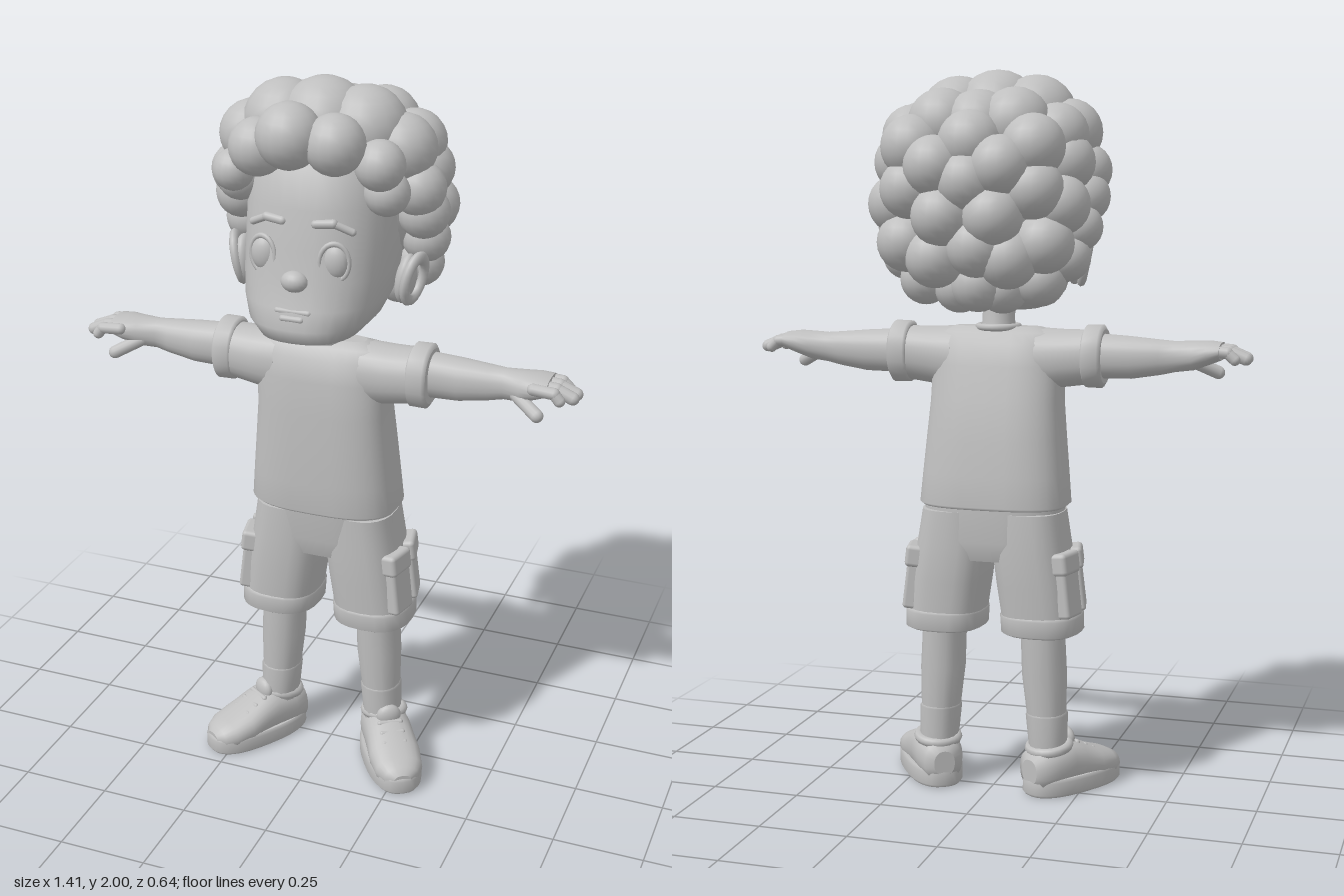
import * as THREE from 'three';
import { mergeVertices } from 'three/addons/utils/BufferGeometryUtils.js';
import { RoundedBoxGeometry } from 'three/addons/geometries/RoundedBoxGeometry.js';

const clay = new THREE.MeshStandardMaterial({ color: 0xbfbfbf });
clay.name = 'clayGrey';

// Loft of superellipse rings. Each ring: [position, centreU, centreV, radiusU, radiusV]
// axis x: u=y, v=z; axis y: u=x, v=z; axis z: u=x, v=y
function loft(axis, rings, p = 2, n = 24) {
  const pos = [], idx = [];
  const put = (t, u, v) => pos.push(...(axis === 'x' ? [t, u, v] : axis === 'y' ? [u, t, v] : [u, v, t]));
  const tri = (a, b, c) => (axis === 'y' ? idx.push(a, c, b) : idx.push(a, b, c));
  const pw = (c) => Math.sign(c) * Math.pow(Math.abs(c), 2 / p);
  const ring = ([t, cu, cv, ru, rv]) => {
    for (let j = 0; j < n; j++) {
      const a = (j / n) * Math.PI * 2;
      put(t, cu + ru * pw(Math.cos(a)), cv + rv * pw(Math.sin(a)));
    }
  };
  rings.forEach(ring);
  for (let i = 0; i < rings.length - 1; i++) {
    for (let j = 0; j < n; j++) {
      const k = (j + 1) % n, a = i * n, b = a + n;
      tri(a + j, a + k, b + k);
      tri(a + j, b + k, b + j);
    }
  }
  // end caps on their own vertices keep the rims crisp
  [rings[0], rings[rings.length - 1]].forEach((r, e) => {
    const s = pos.length / 3;
    ring(r);
    put(r[0], r[1], r[2]);
    for (let j = 0; j < n; j++) {
      const k = (j + 1) % n;
      if (e) tri(s + n, s + j, s + k);
      else tri(s + n, s + k, s + j);
    }
  });
  const g = new THREE.BufferGeometry();
  g.setAttribute('position', new THREE.Float32BufferAttribute(pos, 3));
  g.setIndex(idx);
  g.computeVertexNormals();
  return g;
}

const ball = (x, y, z, rx, ry = rx, rz = rx) =>
  new THREE.SphereGeometry(1, 18, 12).scale(rx, ry, rz).translate(x, y, z);

// Rounded rod between two points
function rod(a, b, r) {
  const A = new THREE.Vector3(...a), B = new THREE.Vector3(...b), d = B.clone().sub(A);
  const q = new THREE.Quaternion().setFromUnitVectors(new THREE.Vector3(0, 1, 0), d.clone().normalize());
  const m = A.add(B).multiplyScalar(0.5);
  return new THREE.CapsuleGeometry(r, d.length(), 5, 12).applyQuaternion(q).translate(m.x, m.y, m.z);
}

function mirrored(geo) {
  const g = geo.index ? geo.clone() : mergeVertices(geo);
  g.scale(-1, 1, 1);
  const ix = g.index.array;
  for (let i = 0; i < ix.length; i += 3) [ix[i], ix[i + 1]] = [ix[i + 1], ix[i]];
  return g;
}

export function createModel() {
  const model = new THREE.Group();
  model.name = 'curlyHairedChild';
  const add = (name, geo) => {
    const m = new THREE.Mesh(geo, clay);
    m.name = name;
    model.add(m);
  };
  const pair = (name, geo) => {
    add(name + 'Left', geo);
    add(name + 'Right', mirrored(geo));
  };

  // Head and face
  add('head', loft('y', [
    [1.35, 0, 0.14, 0.09, 0.11], [1.362, 0, 0.125, 0.13, 0.155], [1.4, 0, 0.105, 0.165, 0.188],
    [1.45, 0, 0.08, 0.187, 0.195], [1.52, 0, 0.055, 0.197, 0.203], [1.6, 0, 0.035, 0.2, 0.208],
    [1.7, 0, 0.02, 0.2, 0.205], [1.8, 0, 0, 0.19, 0.2], [1.88, 0, -0.02, 0.14, 0.15]], 2.4, 36));
  add('nose', ball(0, 1.522, 0.257, 0.036, 0.028, 0.028));
  add('upperLip', rod([-0.042, 1.445, 0.268], [0.042, 1.445, 0.268], 0.009));
  add('lowerLip', rod([-0.025, 1.428, 0.277], [0.025, 1.428, 0.277], 0.009));
  pair('eye', ball(0.097, 1.575, 0.22, 0.035, 0.046, 0.024));
  pair('eyeRim', new THREE.TorusGeometry(0.038, 0.006, 8, 24).scale(1, 1.28, 1)
    .rotateY(0.25).translate(0.097, 1.575, 0.229));
  pair('browInner', rod([0.045, 1.668, 0.223], [0.09, 1.672, 0.217], 0.012));
  pair('browOuter', rod([0.09, 1.672, 0.217], [0.135, 1.65, 0.2], 0.01));
  pair('ear', ball(0, 0, 0, 0.026, 0.068, 0.046).rotateZ(-0.15).translate(0.225, 1.49, 0.045));
  pair('earRim', new THREE.TorusGeometry(0.042, 0.013, 8, 24).scale(1, 1.4, 1)
    .rotateY(Math.PI / 2 - 0.25).rotateZ(-0.2).translate(0.248, 1.492, 0.045));
  add('neck', loft('y', [[1.27, 0, 0.045, 0.055, 0.055], [1.32, 0, 0.05, 0.045, 0.045], [1.42, 0, 0.055, 0.045, 0.045]]));

  // Curly hair: a core covered in round puffs [x, y, z, radius]
  add('hairCore', ball(0, 1.68, -0.05, 0.235, 0.25, 0.21));
  const pairPuffs = [
    [0.11, 1.875, 0.04, 0.11], [0.205, 1.83, 0.03, 0.09], [0.25, 1.73, 0.03, 0.072], [0.2, 1.74, 0.13, 0.06],
    [0.255, 1.66, 0, 0.07], [0.25, 1.58, -0.04, 0.065], [0.225, 1.5, -0.07, 0.065], [0.16, 1.44, -0.1, 0.07],
    [0.225, 1.75, -0.09, 0.08], [0.225, 1.64, -0.14, 0.08], [0.19, 1.54, -0.17, 0.08], [0.2, 1.82, -0.08, 0.085],
    [0.165, 1.79, -0.19, 0.085], [0.1, 1.85, -0.13, 0.095], [0.17, 1.68, -0.2, 0.08], [0.09, 1.74, -0.24, 0.08],
    [0.07, 1.61, -0.24, 0.08], [0.1, 1.5, -0.2, 0.08], [0.06, 1.42, -0.11, 0.07]];
  const singlePuffs = [
    [-0.2, 1.77, 0.17, 0.055], [-0.12, 1.845, 0.2, 0.075], [-0.02, 1.89, 0.235, 0.085], [0.095, 1.875, 0.22, 0.078],
    [0.195, 1.82, 0.17, 0.065], [0, 1.88, 0.045, 0.12], [0, 1.84, -0.13, 0.1], [0, 1.7, -0.24, 0.08],
    [-0.02, 1.53, -0.22, 0.08], [0, 1.8, -0.21, 0.085], [0, 1.43, -0.14, 0.075]];
  pairPuffs.forEach((p, i) => pair('hairPuff' + i, ball(...p)));
  singlePuffs.forEach((p, i) => add('middleHairPuff' + i, ball(...p)));

  // Shirt
  add('shirt', loft('y', [
    [0.81, 0, 0.022, 0.2, 0.125], [0.818, 0, 0.022, 0.21, 0.133], [0.9, 0, 0.027, 0.203, 0.128],
    [1, 0, 0.033, 0.194, 0.122], [1.1, 0, 0.04, 0.186, 0.11], [1.2, 0, 0.05, 0.185, 0.096],
    [1.26, 0, 0.05, 0.19, 0.08], [1.29, 0, 0.05, 0.18, 0.058], [1.305, 0, 0.05, 0.12, 0.03]], 2.9, 36));
  add('collar', new THREE.TorusGeometry(0.055, 0.01, 8, 28).rotateX(Math.PI / 2).translate(0, 1.303, 0.048));
  pair('sleeve', loft('x', [[0.12, 1.215, 0.05, 0.088, 0.08], [0.19, 1.22, 0.05, 0.08, 0.078], [0.29, 1.227, 0.045, 0.073, 0.07]], 2.2));
  pair('sleeveCuff', loft('x', [
    [0.25, 1.228, 0.045, 0.076, 0.072], [0.256, 1.228, 0.045, 0.086, 0.081],
    [0.297, 1.228, 0.045, 0.087, 0.081], [0.305, 1.228, 0.045, 0.074, 0.07]], 2.2));

  // Arms and hands
  pair('arm', loft('x', [
    [0.28, 1.23, 0.038, 0.062, 0.056], [0.38, 1.228, 0.037, 0.058, 0.052], [0.46, 1.231, 0.036, 0.048, 0.043],
    [0.5, 1.234, 0.036, 0.042, 0.037], [0.55, 1.238, 0.042, 0.04, 0.052], [0.59, 1.246, 0.044, 0.033, 0.062],
    [0.625, 1.251, 0.044, 0.024, 0.06]], 2.2));
  [[0.005, 0.665, 0.016], [0.036, 0.69, 0.018], [0.068, 0.688, 0.018], [0.097, 0.66, 0.016]].forEach(([z, x, r], i) => {
    pair('finger' + i, rod([0.59, 1.254, z], [0.645, 1.25, z], r));
    pair('fingerTip' + i, rod([0.645, 1.25, z], [x, 1.232, z], r * 0.95));
  });
  pair('thumb', rod([0.54, 1.22, 0.07], [0.605, 1.187, 0.107], 0.018));

  // Shorts
  add('shortsHips', loft('y', [[0.665, 0, 0.012, 0.17, 0.1], [0.72, 0, 0.012, 0.2, 0.118], [0.84, 0, 0.018, 0.196, 0.118]], 2.6, 32));
  pair('shortsLeg', loft('y', [
    [0.475, 0.14, 0.012, 0.106, 0.112], [0.6, 0.124, 0.012, 0.109, 0.118],
    [0.7, 0.109, 0.012, 0.107, 0.119], [0.8, 0.1, 0.014, 0.1, 0.115]], 2.6));
  pair('shortsCuff', loft('y', [
    [0.458, 0.14, 0.012, 0.1, 0.108], [0.464, 0.14, 0.012, 0.112, 0.117],
    [0.508, 0.138, 0.012, 0.113, 0.119], [0.516, 0.137, 0.012, 0.104, 0.112]], 2.6));
  [1, -1].forEach((s) => {
    const end = s > 0 ? 'Front' : 'Back';
    const z = 0.012 + s * 0.052;
    const place = (g, y) => g.rotateZ(0.12).rotateY(-s * 0.22).translate(0.222 + (0.6 - y) * 0.12, y, z);
    pair('pocket' + end, place(new RoundedBoxGeometry(0.04, 0.13, 0.086, 2, 0.01), 0.58));
    pair('pocketFlap' + end, place(new RoundedBoxGeometry(0.054, 0.062, 0.094, 2, 0.012), 0.665));
  });

  // Legs and socks
  pair('leg', loft('y', [
    [0.12, 0.162, 0, 0.048, 0.055], [0.22, 0.156, 0, 0.054, 0.06],
    [0.34, 0.149, 0, 0.062, 0.066], [0.5, 0.142, 0, 0.06, 0.068]], 2.2, 16));
  pair('sock', loft('y', [[0.11, 0.162, 0, 0.052, 0.059], [0.225, 0.156, 0, 0.058, 0.064], [0.232, 0.156, 0, 0.053, 0.058]], 2.2, 16));

  // Shoes, toes turned outward
  const shoe = (name, g) => pair(name, g.rotateY(0.57).translate(0.167, 0, 0));
  shoe('shoeSole', loft('y', [
    [0, 0, 0.083, 0.073, 0.158], [0.008, 0, 0.083, 0.079, 0.164],
    [0.042, 0, 0.083, 0.079, 0.164], [0.05, 0, 0.083, 0.073, 0.157]], 2.5, 32));
  shoe('shoeUpper', loft('z', [
    [-0.079, 0, 0.07, 0.03, 0.035], [-0.065, 0, 0.072, 0.055, 0.056], [-0.02, 0, 0.077, 0.067, 0.063],
    [0.04, 0, 0.082, 0.07, 0.068], [0.085, 0, 0.074, 0.071, 0.062], [0.14, 0, 0.06, 0.075, 0.05],
    [0.195, 0, 0.05, 0.068, 0.042], [0.225, 0, 0.045, 0.05, 0.032], [0.24, 0, 0.042, 0.025, 0.018]], 2.3));
  shoe('shoeCollar', new THREE.TorusGeometry(0.055, 0.014, 8, 24).rotateX(Math.PI / 2 - 0.15).translate(0, 0.132, -0.005));
  shoe('shoeTongue', ball(0, 0.145, 0.055, 0.036, 0.034, 0.02));
  [[0.075, 0.14], [0.105, 0.125], [0.135, 0.11]].forEach(([z, y], i) =>
    shoe('shoeLace' + i, rod([-0.03, y - 0.008, z], [0.03, y - 0.008, z], 0.008)));

  return model;
}
